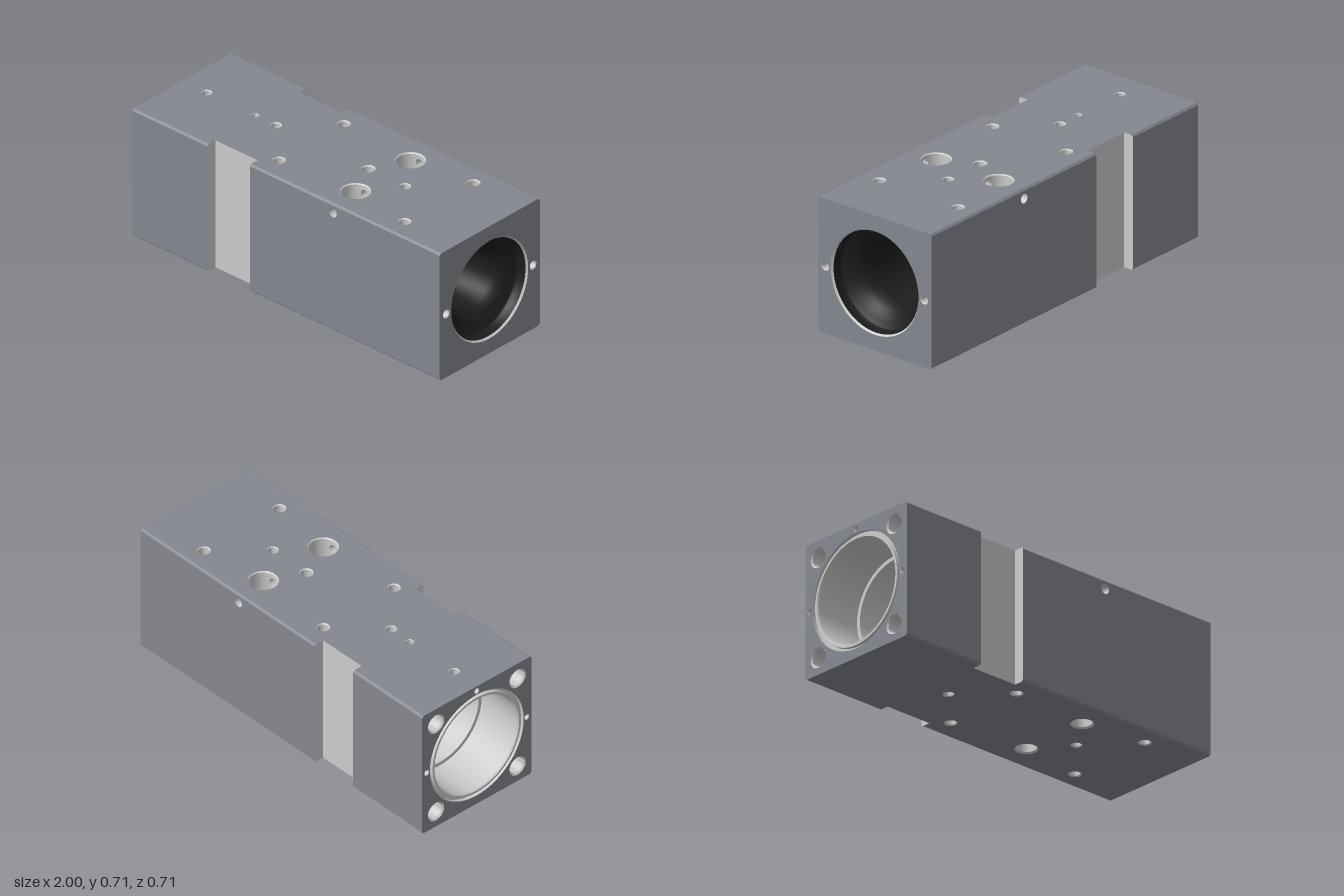
import * as THREE from 'three';
import { toCreasedNormals } from 'three/addons/utils/BufferGeometryUtils.js';

const H = 0.355;              // half height and half depth of the block
const C = 0.01;               // long edge chamfer
const NX0 = -0.51, NX1 = -0.235, NZ = 0.3;   // side notches
const CROSS = { x: 0.305, y: 0.66, r: 0.025 };
const BOLT = { x: 0.305, z: 0.195, R: 0.07, r: 0.05, seat: 0.59 };

const paint = color => new THREE.MeshStandardMaterial({ color, side: THREE.DoubleSide, roughness: 0.7 });

export function createModel() {
  const model = new THREE.Group();
  const block = new THREE.Group();
  block.name = 'block';
  block.position.y = H;       // parts are laid out about the block centre
  model.add(block);

  const dark = paint(0x85878f), bare = paint(0xcccccc), black = paint(0x1c1c1c);
  const X = new THREE.Vector3(1, 0, 0), Y = new THREE.Vector3(0, 1, 0), Z = new THREE.Vector3(0, 0, 1);
  const neg = v => v.clone().negate();

  function add(name, geometry, material, parent = block) {
    const mesh = new THREE.Mesh(geometry, material);
    mesh.name = name;
    parent.add(mesh);
    return mesh;
  }

  // Turned surface from [radius, height] points, with sharp steps
  function turned(points, segments = 32, start = 0, sweep = Math.PI * 2) {
    const g = new THREE.LatheGeometry(points.map(p => new THREE.Vector2(...p)), segments, start, sweep);
    return toCreasedNormals(g, 0.5);
  }

  // Flat face with normal n and local axis u at distance d from the centre.
  // Holes are [a, b, radius, depth, bottom material]; depth 0 leaves an opening.
  function plate(name, n, u, d, outline, material, holes = []) {
    const group = new THREE.Group();
    const v = n.clone().cross(u);
    group.name = name;
    group.applyMatrix4(new THREE.Matrix4().makeBasis(u, v, n).setPosition(n.clone().multiplyScalar(d)));
    block.add(group);
    const shape = new THREE.Shape(outline.map(p => new THREE.Vector2(...p)));
    for (const [a, b, r, depth, floor = bare] of holes) {
      shape.holes.push(new THREE.Path().absarc(a, b, r, 0, Math.PI * 2, true));
      if (!depth) continue;
      const wall = turned([[r, 0], [r * 0.85, -r * 0.15], [r * 0.85, -depth]]).rotateX(Math.PI / 2);
      add('drilledHole', wall.translate(a, b, 0), bare, group);
      const end = new THREE.CircleGeometry(r * 0.85, 32).translate(a, b, -depth);
      add('holeFloor', end, floor, group);
    }
    add(name + 'Face', new THREE.ShapeGeometry(shape, 32), material, group);
  }

  const rect = (x0, x1, y0, y1) => [[x0, y0], [x1, y0], [x1, y1], [x0, y1]];
  const E = H - C;

  // Top and bottom, with the notches in their outlines
  const plan = [[-1, -E], [NX0, -E], [NX0, -NZ], [NX1, -NZ], [NX1, -E], [1, -E],
    [1, E], [NX1, E], [NX1, NZ], [NX0, NZ], [NX0, E], [-1, E]];
  const corners = [];
  for (const s of [1, -1])
    corners.push([-0.16, s * 0.23, 0.033, 0.06, black], [0.67, s * 0.245, 0.033, 0.06, black]);
  const shared = [[-0.39, 0, 0.029, 0.08], [0.45, 0, 0.029, 0.08]];
  const boltHoles = r => [1, -1].map(s => [BOLT.x, s * BOLT.z, r, 0]);
  plate('top', Y, X, H, plan, dark, [...corners, ...shared, ...boltHoles(BOLT.R + 0.006),
    [-0.84, 0, 0.027, 0.07], [-0.525, 0, 0.02, 0.07], [0.21, 0, 0.035, 0.08]]);
  plate('bottom', neg(Y), X, H, plan, dark, [...corners, ...shared, ...boltHoles(BOLT.r + 0.008)]);

  // Front and back faces, long chamfers and notches
  for (const s of [1, -1]) {
    const n = Z.clone().multiplyScalar(s), u = X.clone().multiplyScalar(s);
    const side = s > 0 ? 'front' : 'back';
    const spans = [[-1, NX0], [NX1, 1]];
    spans.forEach(([x0, x1], i) => {
      const holes = i ? [[s * CROSS.x, CROSS.y - H, CROSS.r, 0]] : [];
      plate(side + (i ? 'Long' : 'Short'), n, u, H, rect(s * x0, s * x1, -E, E), dark, holes);
      for (const t of [1, -1]) {
        const slope = new THREE.Vector3(0, t, s).normalize();
        plate(side + 'Chamfer', slope, X, (H - C / 2) * Math.SQRT2,
          rect(x0, x1, -C * Math.SQRT1_2, C * Math.SQRT1_2), dark);
      }
    });
    plate(side + 'NotchFloor', n, u, NZ, rect(s * NX0, s * NX1, -H, H), bare);
    for (const [dir, x] of [[1, NX0], [-1, NX1]]) {
      const k = -dir * s;
      plate(side + 'NotchWall', X.clone().multiplyScalar(dir), Z.clone().multiplyScalar(-dir), dir * x,
        [[k * NZ, -H], [k * E, -H], [k * H, -E], [k * H, E], [k * E, H], [k * NZ, H]], bare);
    }
  }

  // Ends
  const section = [[-E, -H], [E, -H], [H, -E], [H, E], [E, H], [-E, H], [-H, E], [-H, -E]];
  plate('rightEnd', X, neg(Z), 1, section, dark,
    [[0, 0, 0.273, 0], [-0.308, 0, 0.024, 0.12], [0.308, 0, 0.024, 0.12]]);
  const endHoles = [[0, 0, 0.305, 0], [0, 0.327, 0.016, 0.06], [-0.325, 0, 0.016, 0.06], [0.325, 0, 0.016, 0.06]];
  for (const a of [1, -1]) for (const b of [1, -1]) endHoles.push([a * 0.265, b * 0.265, 0.053, 0.3]);
  plate('leftEnd', neg(X), Z, 1, section, dark, endHoles);

  // Bore along the block: seal groove and stepped bore at one end, dark funnel at the other
  const along = (points) => turned(points, 72).rotateZ(-Math.PI / 2);
  add('steppedBore', along([[0.305, -1], [0.305, -0.98], [0.287, -0.98], [0.287, -1], [0.275, -1], [0.27, -0.992],
    [0.27, -0.74], [0.25, -0.74], [0.25, -0.1], [0.155, -0.1], [0.155, 0.3]]), bare);
  add('boreRim', along([[0.273, 1], [0.265, 0.99]]), bare);
  add('funnel', along([[0.265, 0.99], [0.265, 0.955], [0.258, 0.94], [0.235, 0.925], [0.205, 0.91],
    [0.185, 0.89], [0.165, 0.86], [0.155, 0.82], [0.155, 0.3]]), black);

  // Counterbored vertical holes, pierced by the cross hole
  for (const s of [1, -1]) {
    const hole = new THREE.Group();
    hole.name = 'boltHole';
    hole.position.set(BOLT.x, -H, s * BOLT.z);
    block.add(hole);
    const { R, r, seat } = BOLT, low = CROSS.y - CROSS.r, high = CROSS.y + CROSS.r;
    add('boltShank', turned([[r + 0.008, 0], [r, 0.008], [r, seat], [R, seat], [R, low]]), bare, hole);
    add('boltMouth', turned([[R, high], [R, 0.704], [R + 0.006, 0.71]]), bare, hole);
    const rows = 10, step = 2 * CROSS.r / rows;
    for (let i = 0; i < rows; i++) {
      const y = low + i * step, dy = y + step / 2 - CROSS.y;
      const gap = Math.asin(Math.sqrt(CROSS.r ** 2 - dy ** 2) / R);
      for (const start of [0, Math.PI])
        add('boltWall', turned([[R, y], [R, y + step]], 14, start + gap, Math.PI - 2 * gap), bare, hole);
    }
  }

  // Cross hole from front to back
  for (const [z0, z1] of [[-H, -0.262], [-0.128, 0.128], [0.262, H]]) {
    const tube = new THREE.CylinderGeometry(CROSS.r, CROSS.r, z1 - z0, 32, 1, true).rotateX(Math.PI / 2);
    add('crossHole', tube.translate(CROSS.x, CROSS.y - H, (z0 + z1) / 2), bare);
  }
  return model;
}
